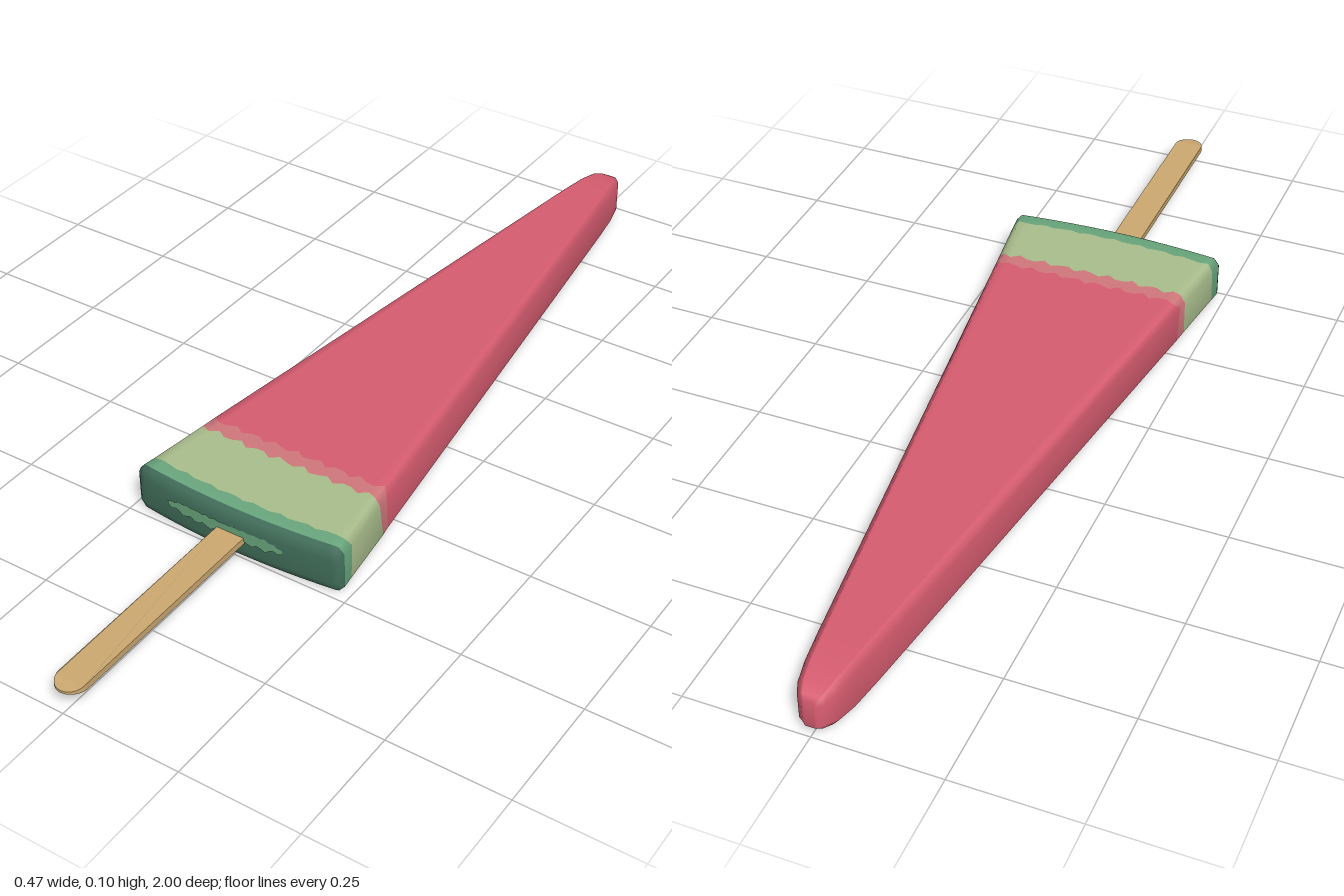
import * as THREE from 'three';

const mat = (name, color, side = THREE.FrontSide) => {
  const m = new THREE.MeshStandardMaterial({ color, side });
  m.name = name;
  return m;
};

const MID = 0.0525;          // height of the centre plane
const COLS = 25;             // columns across the width
const capZ = (x) => 0.49 + 0.017 * (1 - (x / 0.225) ** 2); // curved front end

// Ice body: chamfered cross-sections from tip to rind, one material index per span
function makeBody(materials) {
  // z, half width, half height, bulge towards the front, edge wobble, colour of the next span
  const rings = [
    [-0.998, 0.014, 0.030, 0.000, 0, 0],
    [-0.988, 0.026, 0.036, 0.000, 0, 0],
    [-0.965, 0.037, 0.045, 0.000, 0, 0],
    [-0.920, 0.046, 0.051, 0.000, 0, 0],
    [-0.850, 0.056, 0.0525, 0.000, 0, 0],
    [0.290, 0.210, 0.0525, 0.000, 0.007, 1],
    [0.320, 0.214, 0.0525, 0.004, 0.007, 2],
    [0.447, 0.231, 0.0525, 0.014, 0.003, 3],
    [0.475, 0.235, 0.0525, 0.015, 0, 4],
    [0.482, 0.234, 0.047, 0.016, 0, 4],
    [0.490, 0.225, 0.028, 0.017, 0, 4],
  ];
  const pos = [], index = [], size = COLS * 2;
  const geo = new THREE.BufferGeometry();

  rings.forEach(([z, w, h, bulge, wobble], r) => {
    const cx = Math.min(0.012, w * 0.3), cy = Math.min(0.014, h * 0.3);
    for (let k = 0; k < size; k++) {
      const top = k < COLS, c = top ? k : size - 1 - k;
      const edge = c === 0 || c === COLS - 1;
      const u = THREE.MathUtils.clamp((c - 1) / (COLS - 3) * 2 - 1, -1, 1);
      const x = edge ? Math.sign(u) * w : u * (w - cx);
      const y = (edge ? h - cy : h) * (top ? 1 : -1);
      const jag = wobble * Math.sin(c * 2.3 + r * 1.7 + (top ? 0 : 2));
      pos.push(x, MID + y, z + bulge * (1 - (x / w) ** 2) + jag);
    }
  });

  let start = 0;
  const closeGroup = (m) => {
    geo.addGroup(start, index.length - start, m);
    start = index.length;
  };
  const quad = (a, b, c, d) => index.push(a, b, c, a, c, d);
  // Flat ends, joining the upper and lower halves of a ring
  const cap = (base, front) => {
    for (let c = 0; c < COLS - 1; c++) {
      const t0 = base + c, t1 = t0 + 1, b0 = base + size - 1 - c, b1 = b0 - 1;
      if (front) quad(b0, b1, t1, t0);
      else quad(t0, t1, b1, b0);
    }
  };
  cap(0, false);
  closeGroup(0);
  for (let r = 0; r < rings.length - 1; r++) {
    const a = r * size, b = a + size;
    for (let k = 0; k < size; k++) {
      const n = (k + 1) % size;
      quad(a + k, b + k, b + n, a + n);
    }
    closeGroup(rings[r][5]);
  }
  cap((rings.length - 1) * size, true);
  closeGroup(4);

  geo.setAttribute('position', new THREE.Float32BufferAttribute(pos, 3));
  geo.setIndex(index);
  geo.computeVertexNormals();
  const mesh = new THREE.Mesh(geo, materials);
  mesh.name = 'iceBody';
  return mesh;
}

// Ragged lighter streak on the curved front end
function makeStreak(material) {
  const pos = [], index = [], n = 28;
  for (let i = 0; i <= n; i++) {
    const t = i / n, x = -0.152 + t * 0.268;
    const fade = Math.min(1, Math.min(t, 1 - t) * 6 + 0.2);
    const high = 0.062 + 0.013 * fade + 0.002 * Math.sin(i * 2.7);
    const low = 0.059 - 0.010 * fade - 0.004 * Math.sin(i * 1.9);
    pos.push(x, low, capZ(x) + 0.002, x, high, capZ(x) + 0.002);
    if (i < n) {
      const a = i * 2;
      index.push(a, a + 2, a + 3, a, a + 3, a + 1);
    }
  }
  const geo = new THREE.BufferGeometry();
  geo.setAttribute('position', new THREE.Float32BufferAttribute(pos, 3));
  geo.setIndex(index);
  geo.computeVertexNormals();
  const mesh = new THREE.Mesh(geo, material);
  mesh.name = 'rindStreak';
  return mesh;
}

// Flat wooden stick with a rounded, thinned end
function makeStick(material) {
  const w = 0.031, s = new THREE.Shape();
  s.moveTo(-w, 0.46);
  s.lineTo(w, 0.46);
  s.lineTo(w, 0.967);
  s.absellipse(0, 0.967, w, 0.033, 0, Math.PI, false);
  s.lineTo(-w, 0.46);
  const geo = new THREE.ExtrudeGeometry(s, { depth: 0.014, bevelEnabled: false, curveSegments: 12 });
  geo.rotateX(Math.PI / 2);
  geo.translate(0, 0.06, 0);
  const p = geo.attributes.position;
  for (let i = 0; i < p.count; i++) {
    const k = 1 - 0.6 * THREE.MathUtils.smoothstep(p.getZ(i), 0.96, 1);
    p.setY(i, 0.053 + (p.getY(i) - 0.053) * k);
  }
  geo.computeVertexNormals();
  const mesh = new THREE.Mesh(geo, material);
  mesh.name = 'stick';
  return mesh;
}

export function createModel() {
  const flesh = mat('melon red', 0xd65c70);
  const blush = mat('blush pink', 0xd0777c);
  const pale = mat('pale rind', 0xa9bd8c);
  const green = mat('rind green', 0x68a57c);
  const dark = mat('dark rind', 0x416e5a);
  const wood = mat('wood', 0xcba870);

  const group = new THREE.Group();
  group.name = 'melonIceLolly';
  group.add(makeBody([flesh, blush, pale, green, dark]), makeStreak(green), makeStick(wood));
  return group;
}
